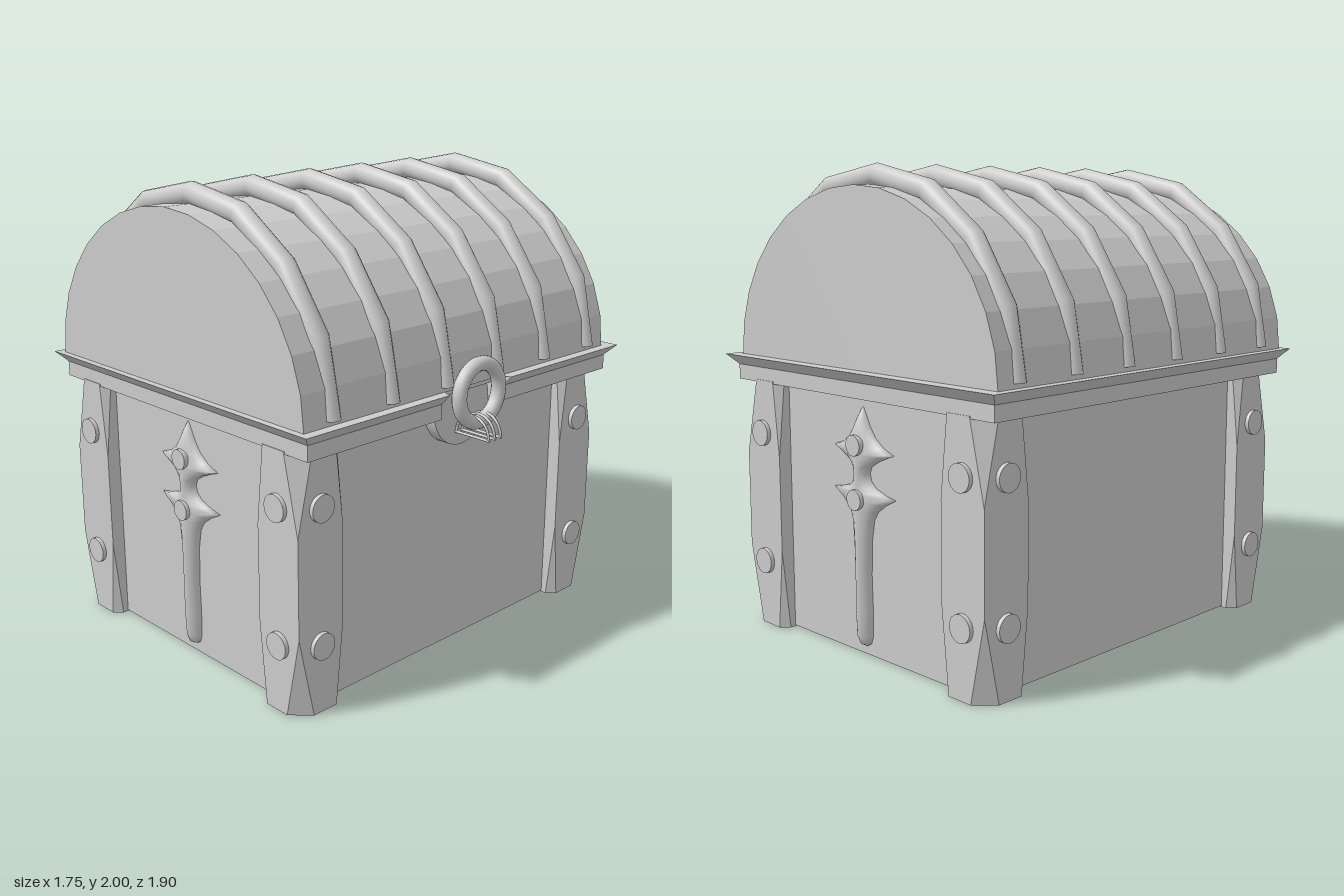
import * as THREE from 'three';

const CX = -0.045; // middle of the chest body in x
const grey = new THREE.MeshStandardMaterial({ color: 0xcccccc });
grey.name = 'plain grey';

// Flat-shaded copy of a geometry
function faceted(geometry) {
  const g = geometry.index ? geometry.toNonIndexed() : geometry;
  g.computeVertexNormals();
  return g;
}

// Joins closed rings of points and caps both ends
function loft(rings) {
  const n = rings[0].length;
  const pos = rings.flat(2), idx = [];
  for (let i = 0; i < rings.length - 1; i++) {
    for (let j = 0; j < n; j++) {
      const a = i * n + j, b = i * n + (j + 1) % n;
      idx.push(a, b, b + n, a, b + n, a + n);
    }
  }
  [0, rings.length - 1].forEach((r) => {
    const start = pos.length / 3;
    const mid = [0, 1, 2].map((k) => rings[r].reduce((s, p) => s + p[k], 0) / n);
    pos.push(...mid, ...rings[r].flat());
    for (let j = 0; j < n; j++) {
      const a = start + 1 + j, b = start + 1 + (j + 1) % n;
      if (r === 0) idx.push(start, b, a); else idx.push(start, a, b);
    }
  });
  const g = new THREE.BufferGeometry();
  g.setAttribute('position', new THREE.Float32BufferAttribute(pos, 3));
  g.setIndex(idx);
  g.computeVertexNormals();
  return g;
}

// Square post, sharp at mid height, with corners cut at top and bottom
function postGeometry(sx, sz) {
  const h = 0.115;
  const ring = (y, cut) => {
    const out = [];
    [[1, 1], [1, -1], [-1, -1], [-1, 1]].forEach(([x, z]) => {
      const c = cut * (x === sx && z === sz ? 0.075 : 0.035);
      const along = [x * h, y, z * (h - c)], across = [x * (h - c), y, z * h];
      out.push(...(x === z ? [across, along] : [along, across]));
    });
    return out;
  };
  return faceted(loft([ring(0, 1), ring(0.35, 0), ring(0.76, 0), ring(1.09, 1)]));
}

// Rim outline with a notch for the lock on the +x side
function rimRing(y, x0, x1, z) {
  const n = 0.19, xi = 0.66;
  return [[x1, z], [x1, n], [xi, n], [xi, -n], [x1, -n], [x1, -z], [x0, -z], [x0, z]]
    .map(([x, zz]) => [x, y, zz]);
}

// Rounded hoop following the lid
function hoopGeometry() {
  const outer = [[0.77, 1.21], [0.70, 1.52], [0.515, 1.775], [0.25, 1.95], [-0.06, 2],
    [-0.37, 1.935], [-0.63, 1.75], [-0.80, 1.49], [-0.855, 1.21]];
  return loft(outer.map(([x, y], i) => {
    const r = i === 0 || i === 8 ? 0.034 : 0.046;
    const d = new THREE.Vector2(x - CX, y - 1.19).normalize();
    return Array.from({ length: 14 }, (_, k) => {
      const a = k / 14 * Math.PI * 2, s = r * (Math.cos(a) - 1);
      return [x + d.x * s, y + d.y * s, -r * Math.sin(a)];
    });
  }));
}

// Dagger-like ornament: rows of [height, half width, depth]
function ornamentGeometry() {
  const rows = [[0.04, 0.004, 0.004], [0.055, 0.028, 0.03], [0.09, 0.04, 0.045], [0.2, 0.042, 0.05],
    [0.35, 0.038, 0.05], [0.5, 0.045, 0.05], [0.58, 0.06, 0.05], [0.62, 0.085, 0.05],
    [0.655, 0.135, 0.05], [0.685, 0.195, 0.05], [0.697, 0.13, 0.05], [0.715, 0.075, 0.05],
    [0.74, 0.046, 0.05], [0.77, 0.037, 0.05], [0.8, 0.05, 0.05], [0.825, 0.09, 0.05],
    [0.85, 0.15, 0.05], [0.863, 0.187, 0.05], [0.885, 0.125, 0.05], [0.92, 0.075, 0.05],
    [0.96, 0.045, 0.04], [1.0, 0.024, 0.025], [1.04, 0.002, 0.002]];
  return loft(rows.map(([y, w, d]) => Array.from({ length: 16 }, (_, k) => {
    const a = k / 16 * Math.PI * 2, c = Math.cos(a);
    return [w * c * Math.pow(Math.abs(c), w * 8), y, -d * Math.sin(a)];
  })));
}

export function createModel() {
  const chest = new THREE.Group();
  chest.name = 'chest';
  const add = (name, geometry, x = 0, y = 0, z = 0, parent = chest) => {
    const m = new THREE.Mesh(geometry, grey);
    m.name = name;
    m.position.set(x, y, z);
    parent.add(m);
    return m;
  };

  // Box
  add('body', new THREE.BoxGeometry(1.36, 1.14, 1.7), CX, 0.575, 0);

  // Corner posts with studs on both outer faces
  const studZ = new THREE.CylinderGeometry(0.056, 0.056, 0.04, 24).rotateX(Math.PI / 2);
  const studX = new THREE.CylinderGeometry(0.056, 0.056, 0.04, 24).rotateZ(Math.PI / 2);
  for (const sx of [-1, 1]) {
    for (const sz of [-1, 1]) {
      const x = CX + sx * 0.625, z = sz * 0.795;
      add('cornerPost', postGeometry(sx, sz), x, 0, z);
      for (const y of [0.29, 0.86]) {
        add('postStud', studZ, x, y, z + sz * 0.113);
        add('postStud', studX, x + sx * 0.113, y, z);
      }
    }
  }

  // Flared rim
  add('rim', faceted(loft([
    rimRing(1.08, -0.835, 0.75, 0.907), rimRing(1.145, -0.835, 0.75, 0.907),
    rimRing(1.19, -0.875, 0.79, 0.95),
  ])));

  // Domed lid and its hoops
  const dome = new THREE.CylinderGeometry(1, 1, 1.81, 16, 1, false, Math.PI / 2, Math.PI);
  dome.rotateX(Math.PI / 2).scale(0.79, 0.727, 1);
  add('lid', faceted(dome), CX, 1.188, 0.015);
  const lidBase = new THREE.BoxGeometry(1.57, 0.02, 1.8);
  add('lidBase', lidBase, CX, 1.181, 0.015);
  const hoop = hoopGeometry();
  for (let i = 0; i < 6; i++) add('lidHoop', hoop, 0, 0, -0.777 + i * 0.31);

  // Ornament with two studs, on front and back
  const blade = ornamentGeometry();
  const boss = new THREE.CylinderGeometry(0.043, 0.043, 0.03, 24).rotateX(Math.PI / 2);
  for (const s of [1, -1]) {
    const ornament = new THREE.Group();
    ornament.name = s > 0 ? 'frontOrnament' : 'backOrnament';
    ornament.position.set(-0.035, 0, s * 0.85);
    ornament.rotation.y = s > 0 ? 0 : Math.PI;
    add('ornamentBlade', blade, 0, 0, 0, ornament);
    for (const y of [0.665, 0.888]) add('ornamentStud', boss, 0, y, 0.045, ornament);
    chest.add(ornament);
  }

  // Lock plate, ring and the three wire staples holding it
  add('lockPlate', new THREE.CylinderGeometry(0.168, 0.168, 0.09, 40).rotateZ(Math.PI / 2), 0.645, 1.088, 0);
  add('lockRing', new THREE.TorusGeometry(0.122, 0.031, 14, 36).rotateY(Math.PI / 2), 0.78, 1.16, 0);
  const arch = new THREE.TorusGeometry(0.085, 0.006, 8, 16, Math.PI);
  const bar = new THREE.CylinderGeometry(0.006, 0.006, 0.18, 8).rotateZ(Math.PI / 2);
  for (const z of [-0.037, 0, 0.037]) {
    add('stapleArch', arch, 0.782, 0.985, z);
    add('stapleBar', bar, 0.782, 0.983, z);
  }
  return chest;
}
